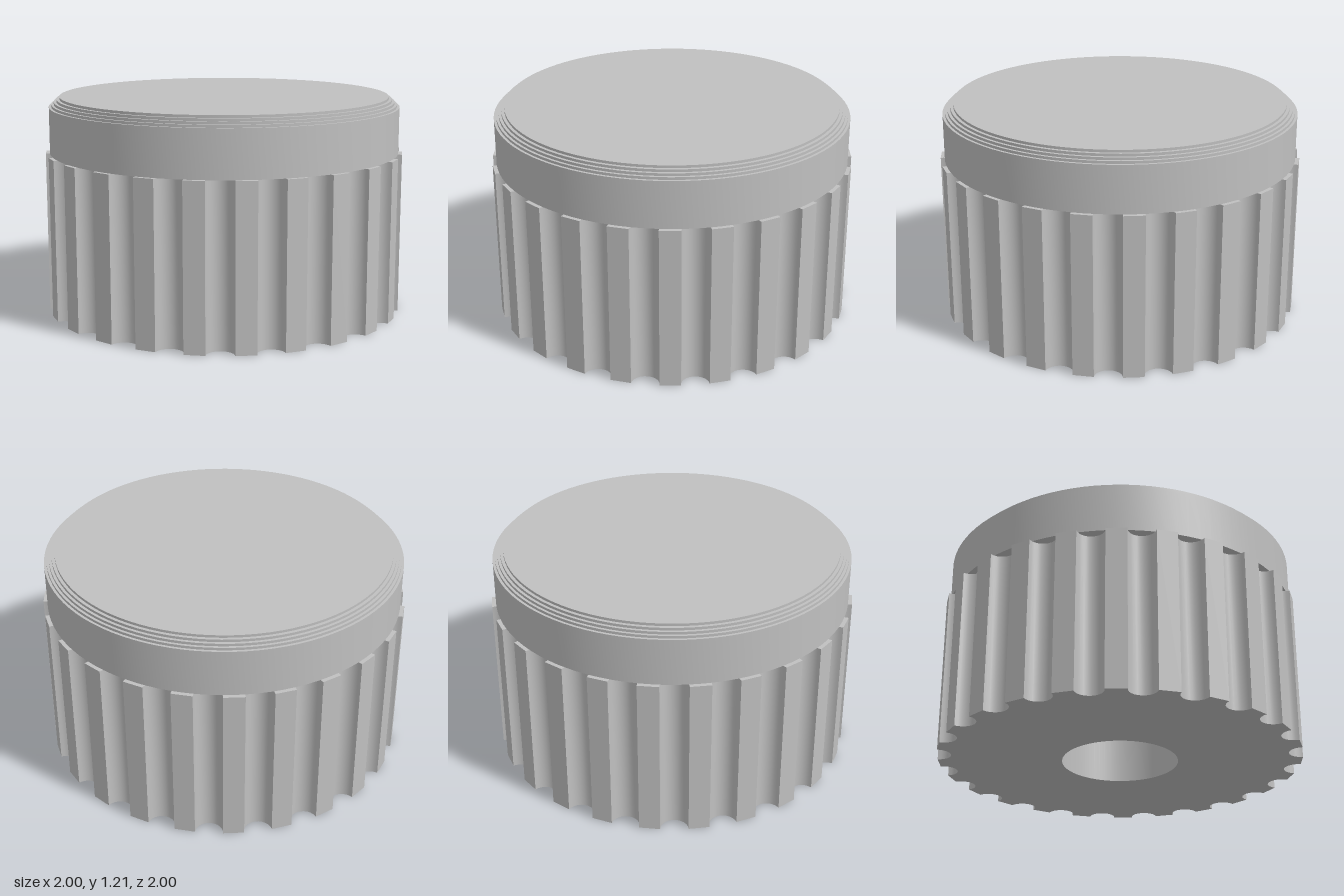
import * as THREE from 'three';
import { toCreasedNormals } from 'three/addons/utils/BufferGeometryUtils.js';

const GROOVES = 24;
const GROOVE_RADIUS = 0.075;
const GRIP_HEIGHT = 0.893;
const HOLE_RADIUS = 0.32;

// Outline of the grip: flat lands separated by half-round grooves
function gripShape() {
  const points = [];
  const steps = 12;
  for (let i = 0; i < GROOVES; i++) {
    const a = (i / GROOVES) * Math.PI * 2;
    for (let j = 0; j <= steps; j++) {
      const t = a - Math.PI / 2 - (j / steps) * Math.PI;
      points.push(new THREE.Vector2(
        Math.cos(a) + GROOVE_RADIUS * Math.cos(t),
        Math.sin(a) + GROOVE_RADIUS * Math.sin(t)
      ));
    }
  }
  const shape = new THREE.Shape(points);
  const hole = new THREE.Path();
  hole.absarc(0, 0, HOLE_RADIUS, 0, Math.PI * 2, true);
  shape.holes.push(hole);
  return shape;
}

export function createModel() {
  const group = new THREE.Group();
  group.name = 'knob';
  const grey = new THREE.MeshStandardMaterial({ color: 0xc0c0c0 });
  grey.name = 'grey';

  const add = (name, geometry) => {
    const mesh = new THREE.Mesh(toCreasedNormals(geometry, 0.5), grey);
    mesh.name = name;
    group.add(mesh);
  };

  // Fluted grip with a shaft hole in its underside
  const grip = new THREE.ExtrudeGeometry(gripShape(), {
    depth: GRIP_HEIGHT, bevelEnabled: false, curveSegments: 32,
  });
  grip.rotateX(-Math.PI / 2);
  add('flutedGrip', grip);

  // Round cap whose upper rim narrows in small steps
  const rims = [[0.98, 1.15], [0.966, 1.164], [0.952, 1.178], [0.937, 1.192], [0.92, 1.206]];
  const profile = [new THREE.Vector2(0, GRIP_HEIGHT)];
  let y = GRIP_HEIGHT;
  for (const [radius, top] of rims) {
    profile.push(new THREE.Vector2(radius, y), new THREE.Vector2(radius, top));
    y = top;
  }
  profile.push(new THREE.Vector2(0, y));
  add('steppedCap', new THREE.LatheGeometry(profile, 96));

  return group;
}
